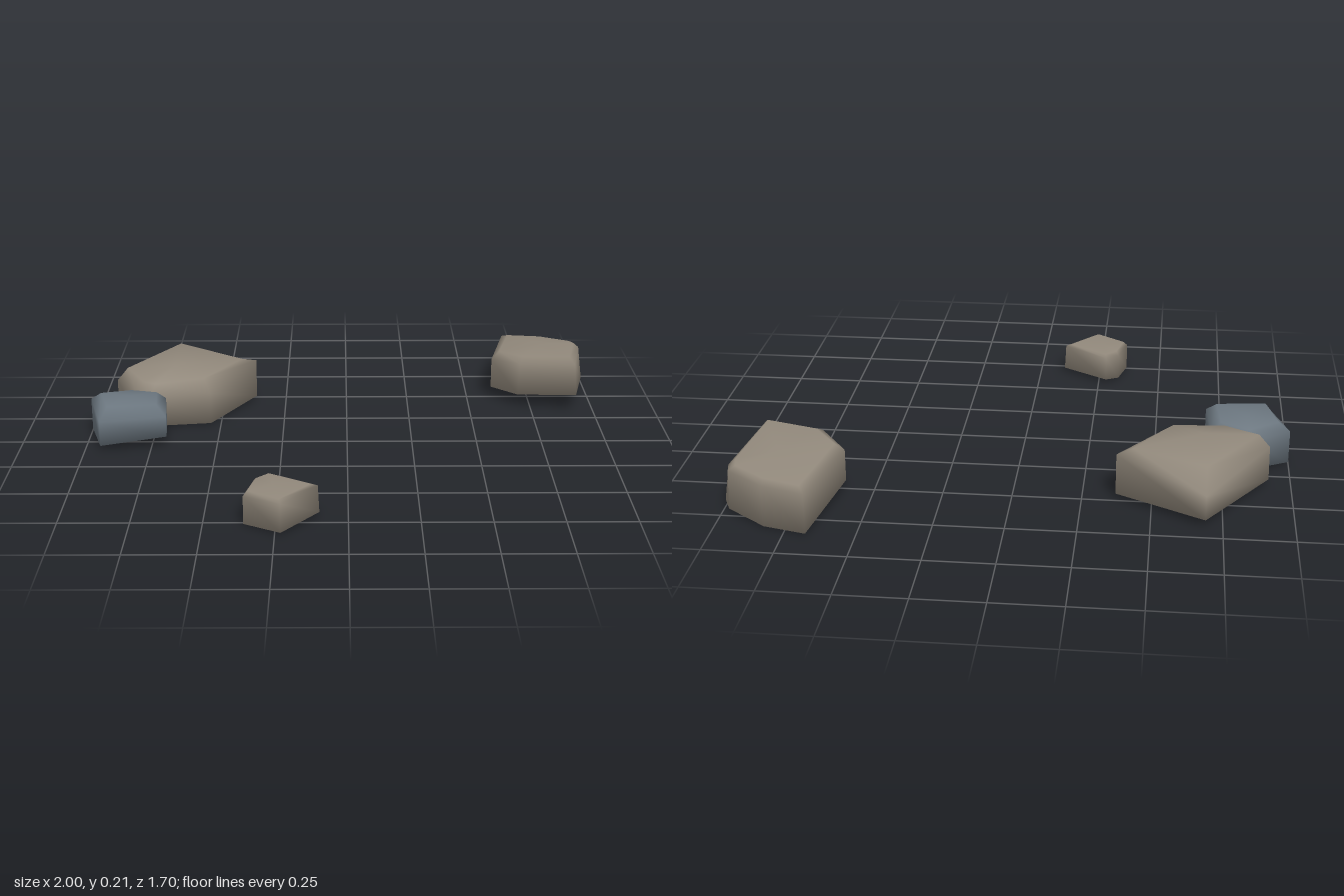
import * as THREE from 'three';

// Each corner: [x, z, bottom height, shoulder height, top height, shoulder pull toward the middle]
const STONES = [
  { name: 'largeStone', color: 'beige', inset: 0.82, crown: 0.207, corners: [
    [-0.69, -0.67, 0.03, 0.12, 0.205, 0.99],
    [-0.37, -0.475, 0.02, 0.175, 0.19, 1],
    [-0.54, -0.20, 0.005, 0.13, 0.185, 1],
    [-0.77, -0.155, 0.01, 0.13, 0.175, 1],
    [-0.83, -0.19, 0.01, 0.13, 0.175, 1],
    [-0.92, -0.305, 0.02, 0.15, 0.2, 0.99]] },
  { name: 'rightStone', color: 'beige', inset: 0.85, crown: 0.2, corners: [
    [0.675, -0.855, 0.005, 0.155, 0.17, 1],
    [0.83, -0.815, 0.005, 0.16, 0.175, 1],
    [0.975, -0.725, 0.02, 0.165, 0.18, 0.97],
    [1.0, -0.675, 0.03, 0.165, 0.185, 0.9],
    [0.93, -0.33, 0.073, 0.195, 0.215, 0.93],
    [0.70, -0.385, 0.055, 0.185, 0.205, 0.97],
    [0.60, -0.51, 0.045, 0.165, 0.195, 1]] },
  { name: 'blueStone', color: 'blue', inset: 0.74, crown: 0.17, corners: [
    [-0.85, -0.21, 0.01, 0.12, 0.155, 1],
    [-0.71, -0.15, 0.03, 0.13, 0.162, 1],
    [-0.69, 0.06, 0.05, 0.13, 0.168, 1],
    [-0.94, 0.092, 0.025, 0.12, 0.168, 1],
    [-1.0, -0.13, 0.01, 0.135, 0.165, 1]] },
  { name: 'smallStone', color: 'beige', inset: 0.85, crown: 0.128, corners: [
    [-0.28, 0.58, 0.02, 0.115, 0.125, 1],
    [-0.10, 0.695, 0.02, 0.12, 0.127, 0.97],
    [-0.23, 0.848, 0.012, 0.118, 0.127, 1],
    [-0.36, 0.76, 0.005, 0.108, 0.125, 1],
    [-0.33, 0.63, 0.01, 0.11, 0.125, 1]] },
];

// Smooth stone from three stacked outlines, closed by a fan above and below
function stoneGeometry({ corners, inset, crown }) {
  const n = corners.length;
  const cx = corners.reduce((s, c) => s + c[0], 0) / n;
  const cz = corners.reduce((s, c) => s + c[1], 0) / n;
  const base = corners.reduce((s, c) => s + c[2], 0) / n;
  const pos = [];
  for (let ring = 0; ring < 3; ring++) {
    for (const [x, z, yb, ys, yt, pull] of corners) {
      const k = [1, pull, pull * inset][ring];
      pos.push(cx + (x - cx) * k, [yb, ys, yt][ring], cz + (z - cz) * k);
    }
  }
  pos.push(cx, base, cz, cx, crown, cz);
  const index = [];
  for (let i = 0; i < n; i++) {
    const j = (i + 1) % n;
    for (const r of [0, n]) {
      index.push(r + i, r + n + i, r + n + j, r + i, r + n + j, r + j);
    }
    index.push(3 * n, i, j, 3 * n + 1, 2 * n + j, 2 * n + i);
  }
  const geometry = new THREE.BufferGeometry();
  geometry.setAttribute('position', new THREE.Float32BufferAttribute(pos, 3));
  geometry.setIndex(index);
  geometry.computeVertexNormals();
  return geometry;
}

export function createModel() {
  const beige = new THREE.MeshStandardMaterial({ color: 0x91887b });
  beige.name = 'warm grey stone';
  const blue = new THREE.MeshStandardMaterial({ color: 0x6c7780 });
  blue.name = 'blue grey stone';
  const materials = { beige, blue };

  const group = new THREE.Group();
  group.name = 'scatteredStones';
  for (const stone of STONES) {
    const mesh = new THREE.Mesh(stoneGeometry(stone), materials[stone.color]);
    mesh.name = stone.name;
    group.add(mesh);
  }
  return group;
}
